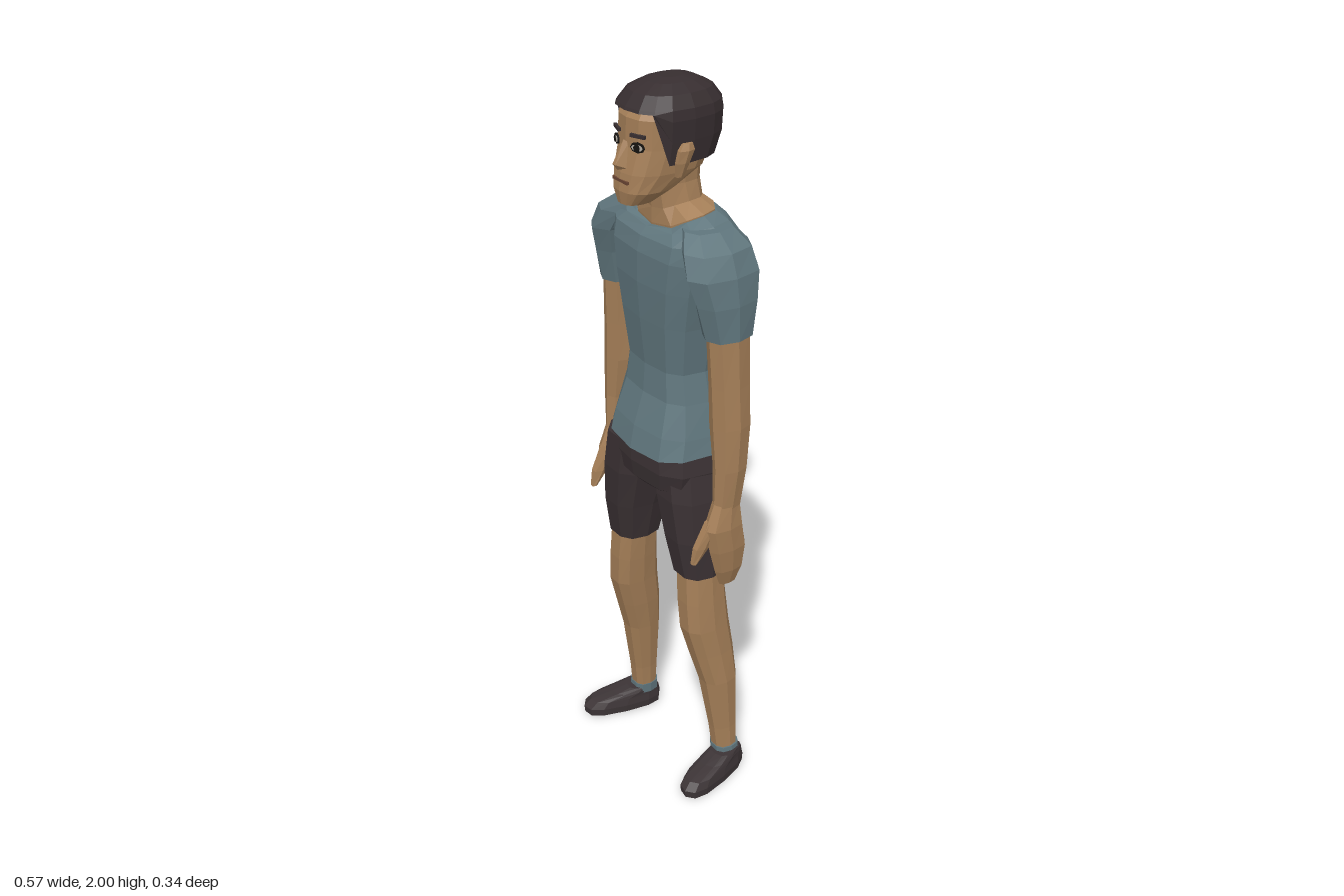
import * as THREE from 'three';
import { ConvexGeometry } from 'three/addons/geometries/ConvexGeometry.js';

const mat = (name, color) => Object.assign(new THREE.MeshStandardMaterial({ color }), { name });

// Faceted skin over horizontal rings listed bottom to top.
// ring = [y, centreX, halfWidth, frontZ, backZ, frontLift = 0, backLift = 0]
function loft(rings, { sides = 12, p = 0.75, dx = 0, dz = 0, floor = null } = {}) {
  const pos = [], index = [];
  for (const [y, cx, rx, f, b, lf = 0, lb = 0] of rings) {
    for (let i = 0; i < sides; i++) {
      const a = (i / sides) * Math.PI * 2, c = Math.cos(a), s = Math.sin(a);
      const px = Math.sign(c) * Math.abs(c) ** p, pz = Math.sign(s) * Math.abs(s) ** p;
      let py = y + s * s * (s > 0 ? lf : lb);
      if (floor) py = Math.max(py, floor(s));
      pos.push(cx + dx + px * rx, py, (f + b) / 2 + dz + (pz * (f - b)) / 2);
    }
  }
  const n = rings.length;
  for (let r = 0; r < n - 1; r++) {
    for (let i = 0; i < sides; i++) {
      const j = (i + 1) % sides, a = r * sides + i, b = r * sides + j;
      index.push(a, a + sides, b, b, a + sides, b + sides);
    }
  }
  // end caps
  for (const r of [0, n - 1]) {
    const [y, cx, , f, b, lf = 0, lb = 0] = rings[r];
    const centre = pos.length / 3;
    pos.push(cx + dx, Math.max(y + (lf + lb) / 2, floor && r === 0 ? 1.9 : 0), (f + b) / 2 + dz);
    for (let i = 0; i < sides; i++) {
      const a = r * sides + i, c = r * sides + ((i + 1) % sides);
      if (r === 0) index.push(centre, a, c);
      else index.push(centre, c, a);
    }
  }
  let g = new THREE.BufferGeometry();
  g.setAttribute('position', new THREE.Float32BufferAttribute(pos, 3));
  g.setIndex(index);
  g = g.toNonIndexed();
  g.computeVertexNormals();
  return g;
}

export function createModel() {
  const model = new THREE.Group();
  model.name = 'standingMan';
  const skin = mat('skin', 0xa57f58), cloth = mat('shirtBlueGrey', 0x60767d);
  const dark = mat('shortsDark', 0x3a3133), hairMat = mat('hairDark', 0x372e30);
  const shoeMat = mat('shoeDark', 0x3c3436), black = mat('eyeBlack', 0x15120f);
  const white = mat('eyeWhite', 0xb5aea4), lip = mat('lip', 0x6b4634);

  const add = (name, geometry, material, parent = model) => {
    const m = new THREE.Mesh(geometry, material);
    m.name = name;
    parent.add(m);
    return m;
  };

  // Shirt body, hem raised at the back and neckline dipped at the front
  add('shirt', loft([
    [1.05, 0, 0.176, 0.135, -0.155, -0.015, 0.03],
    [1.1, 0, 0.168, 0.122, -0.168, 0, 0],
    [1.19, 0, 0.146, 0.092, -0.118],
    [1.27, 0, 0.13, 0.086, -0.106],
    [1.4, 0, 0.15, 0.1, -0.125],
    [1.5, 0, 0.172, 0.107, -0.132],
    [1.58, 0, 0.19, 0.106, -0.135],
    [1.63, 0, 0.192, 0.096, -0.122, -0.01, 0],
    [1.665, 0, 0.155, 0.078, -0.1, -0.025, 0.005],
    [1.682, 0, 0.12, 0.062, -0.08, -0.042, 0.01],
  ], { p: 0.68 }), cloth);

  // Neck and the skin inside the collar
  add('neck', loft([
    [1.66, 0, 0.118, 0.06, -0.078, -0.03, 0.01],
    [1.685, 0, 0.118, 0.062, -0.08, -0.04, 0.01],
    [1.705, 0, 0.066, 0.062, -0.068, -0.02, 0],
    [1.75, 0, 0.056, 0.068, -0.064],
    [1.83, 0, 0.058, 0.06, -0.068],
  ]), skin);

  // Head, narrowing to the jaw
  const head = new THREE.Group();
  head.name = 'head';
  model.add(head);
  add('face', loft([
    [1.712, 0, 0.036, 0.15, 0.065],
    [1.745, 0, 0.066, 0.155, 0.01],
    [1.79, 0, 0.082, 0.15, -0.07],
    [1.85, 0, 0.09, 0.135, -0.098],
    [1.92, 0, 0.092, 0.132, -0.1],
    [1.965, 0, 0.07, 0.1, -0.08],
  ], { sides: 16, p: 0.8 }), skin, head);

  // Hair, high over the forehead and low at the sides and back
  add('hair', loft([
    [1.815, 0, 0.098, 0.136, -0.098],
    [1.87, 0, 0.103, 0.137, -0.119],
    [1.92, 0, 0.106, 0.138, -0.121],
    [1.945, 0, 0.102, 0.134, -0.117],
    [1.975, 0, 0.083, 0.11, -0.095],
    [1.993, 0, 0.052, 0.07, -0.058],
    [2.0, 0, 0.025, 0.035, -0.025],
  ], { sides: 16, p: 0.8, floor: (s) => (s > 0.5 ? 1.938 : 1.815) }), hairMat, head);

  const v = (x, y, z) => new THREE.Vector3(x, y, z);
  add('nose', new ConvexGeometry([
    v(0, 1.868, 0.14), v(-0.008, 1.86, 0.13), v(0.008, 1.86, 0.13), v(-0.017, 1.802, 0.143),
    v(0.017, 1.802, 0.143), v(-0.006, 1.812, 0.168), v(0.006, 1.812, 0.168), v(0, 1.797, 0.158),
  ]), skin, head);
  add('mouth', new THREE.BoxGeometry(0.062, 0.007, 0.009), lip, head).position.set(0, 1.77, 0.1485);

  for (const s of [1, -1]) {
    // Eye, pupil, brow and ear
    const eye = new THREE.Group();
    eye.name = s > 0 ? 'leftEye' : 'rightEye';
    eye.position.set(s * 0.043, 1.857, 0.1285);
    eye.rotation.y = s * 0.36;
    head.add(eye);
    const disc = (name, r, h, z, m) => {
      const d = add(name, new THREE.CylinderGeometry(r, r, 0.004, 8), m, eye);
      d.rotation.x = Math.PI / 2;
      d.scale.z = h;
      d.position.z = z;
    };
    disc('eyeRim', 0.02, 0.65, 0.001, black);
    disc('eyeball', 0.016, 0.5, 0.003, white);
    disc('pupil', 0.009, 0.95, 0.005, black);
    add('eyebrow', new THREE.BoxGeometry(0.042, 0.008, 0.008), hairMat, eye).position.set(0, 0.027, 0);

    add('ear', loft([
      [1.785, s * 0.094, 0.008, 0.058, 0.035],
      [1.82, s * 0.1, 0.012, 0.062, 0.022],
      [1.85, s * 0.104, 0.012, 0.058, 0.01],
      [1.866, s * 0.102, 0.008, 0.045, 0.015],
    ], { sides: 6, p: 1 }), skin, head);

    // Sleeve and arm
    const armOpt = { sides: 8, p: 0.85, dx: -0.006 };
    add('sleeve', loft([
      [1.41, s * 0.228, 0.05, 0.058, -0.072],
      [1.5, s * 0.222, 0.054, 0.08, -0.092],
      [1.57, s * 0.208, 0.058, 0.1, -0.108],
      [1.625, s * 0.18, 0.063, 0.09, -0.1],
      [1.662, s * 0.14, 0.05, 0.06, -0.075],
    ], armOpt), cloth);
    add('arm', loft([
      [0.93, s * 0.25, 0.027, 0.042, -0.035],
      [1.05, s * 0.251, 0.036, 0.04, -0.05],
      [1.17, s * 0.241, 0.046, 0.042, -0.062],
      [1.28, s * 0.236, 0.044, 0.044, -0.062],
      [1.44, s * 0.228, 0.044, 0.05, -0.065],
    ], armOpt), skin);
    add('hand', loft([
      [0.69, s * 0.243, 0.012, 0.015, -0.035],
      [0.74, s * 0.25, 0.021, 0.035, -0.052],
      [0.81, s * 0.253, 0.028, 0.055, -0.058],
      [0.88, s * 0.252, 0.032, 0.07, -0.046],
      [0.95, s * 0.25, 0.027, 0.042, -0.035],
    ], armOpt), skin);
    add('thumb', loft([
      [0.785, s * 0.24, 0.009, 0.105, 0.088],
      [0.83, s * 0.242, 0.015, 0.098, 0.05],
      [0.9, s * 0.246, 0.018, 0.062, 0.02],
    ], { sides: 6, dx: -0.006 }), skin);

    // Leg of the shorts, bare leg and sock; the right leg stands slightly forward
    const legOpt = { sides: 10, p: 0.8, dz: s * -0.014 };
    add('shortsLeg', loft([
      [0.685, s * 0.134, 0.065, 0.088, -0.045],
      [0.8, s * 0.123, 0.077, 0.108, -0.072],
      [0.92, s * 0.104, 0.09, 0.118, -0.108],
      [1.03, s * 0.088, 0.088, 0.115, -0.125],
    ], legOpt), dark);
    add('leg', loft([
      [0.06, s * 0.185, 0.034, -0.005, -0.073],
      [0.15, s * 0.18, 0.036, 0.005, -0.075],
      [0.32, s * 0.17, 0.047, 0.032, -0.075],
      [0.42, s * 0.16, 0.05, 0.06, -0.068],
      [0.51, s * 0.153, 0.053, 0.084, -0.056],
      [0.6, s * 0.145, 0.056, 0.086, -0.048],
      [0.72, s * 0.135, 0.059, 0.082, -0.04],
    ], legOpt), skin);
    add('sock', loft([
      [0.05, s * 0.187, 0.039, 0.0, -0.079],
      [0.082, s * 0.185, 0.038, 0.0, -0.078],
    ], legOpt), cloth);

    // Shoe, turned outward
    const shoe = add('shoe', loft([
      [0, 0, 0.045, 0.12, -0.12],
      [0.022, 0, 0.046, 0.122, -0.122],
      [0.042, 0, 0.042, 0.1, -0.118],
      [0.056, 0, 0.04, 0.03, -0.112],
      [0.068, 0, 0.036, -0.015, -0.105],
    ], { sides: 12, p: 0.75 }), shoeMat);
    shoe.position.set(s > 0 ? 0.213 : -0.205, 0, s > 0 ? 0.01 : 0.043);
    shoe.rotation.y = s * 0.26;
  }

  // Seat of the shorts
  add('shortsSeat', loft([
    [0.915, 0, 0.1, 0.09, -0.095],
    [0.95, 0, 0.165, 0.125, -0.12],
    [1.0, 0, 0.18, 0.133, -0.137],
    [1.055, 0, 0.172, 0.13, -0.15, -0.01, 0.03],
  ], { p: 0.68 }), dark);

  return model;
}
